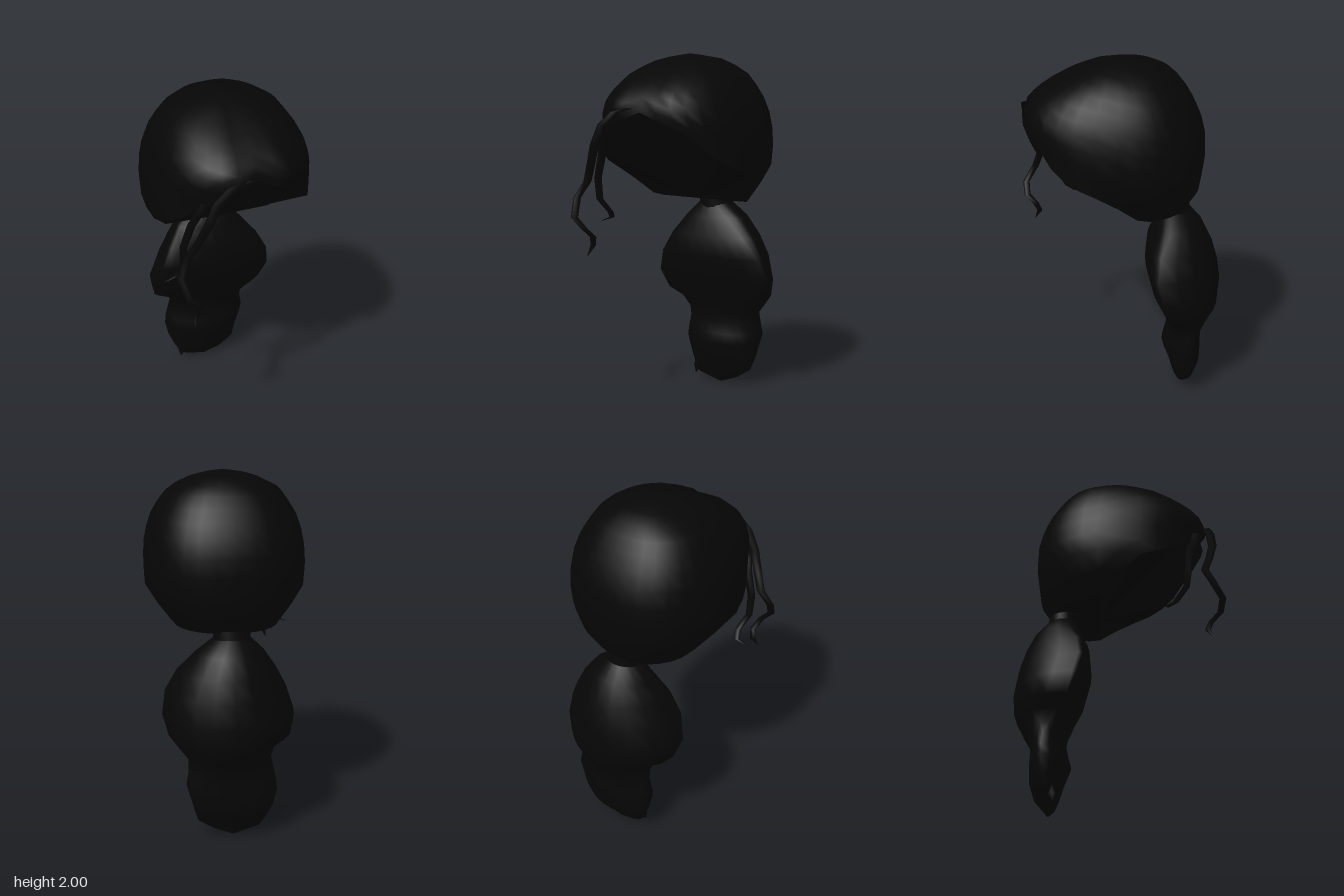
import * as THREE from 'three';

// Piecewise-linear lookup in [key, value] pairs with ascending keys
function lookup(table, k) {
  if (k <= table[0][0]) return table[0][1];
  for (let i = 1; i < table.length; i++) {
    const [k0, v0] = table[i - 1], [k1, v1] = table[i];
    if (k <= k1) return v0 + (v1 - v0) * (k - k0) / (k1 - k0);
  }
  return table[table.length - 1][1];
}

// Signed power: below 1 makes an oval boxier
const bulge = (v, power) => Math.sign(v) * Math.abs(v) ** power;

// Skin closed rings of equal length, listed from top to bottom
function loft(name, rings, material) {
  const n = rings[0].length, index = [];
  for (let r = 0; r < rings.length - 1; r++) {
    for (let s = 0; s < n; s++) {
      const t = (s + 1) % n;
      const a = r * n + s, b = a + n, c = (r + 1) * n + t, d = r * n + t;
      index.push(a, b, c, a, c, d);
    }
  }
  const geometry = new THREE.BufferGeometry();
  geometry.setAttribute('position', new THREE.Float32BufferAttribute(rings.flat(2), 3));
  geometry.setIndex(index);
  geometry.computeVertexNormals();
  const mesh = new THREE.Mesh(geometry, material);
  mesh.name = name;
  return mesh;
}

// Cap outline by height: half width, reach to the front, reach to the back
const WIDTH = [[1.165, 0.3], [1.25, 0.35], [1.29, 0.39], [1.36, 0.44], [1.5, 0.448], [1.64, 0.438],
  [1.78, 0.39], [1.9, 0.305], [1.97, 0.17], [2, 0]];
const FRONT = [[1.55, 0.48], [1.7, 0.535], [1.76, 0.515], [1.83, 0.435], [1.9, 0.31], [1.95, 0.2], [1.985, 0.1], [2, 0]];
const BACK = [[1.165, 0.37], [1.22, 0.395], [1.27, 0.44], [1.44, 0.465], [1.53, 0.475], [1.65, 0.455],
  [1.76, 0.405], [1.86, 0.345], [1.935, 0.27], [1.985, 0.165], [2, 0]];
// Hairline height by degrees away from the front
const RIM = [[0, 1.7], [25, 1.61], [45, 1.49], [60, 1.425], [84, 1.35], [95, 1.22], [105, 1.165], [180, 1.165]];
// Shallow parting at the middle of the front
const PARTING = [[0, 0.94], [11, 1]];

// t runs from the crown (0) to the hairline (1)
function capRing(t) {
  const n = 32;
  return Array.from({ length: n }, (_, s) => {
    const a = s / n * Math.PI * 2;
    const deg = Math.min(a, Math.PI * 2 - a) * 180 / Math.PI;
    const rim = lookup(RIM, deg);
    const y = rim + (2 - rim) * Math.cos(t * Math.PI / 2);
    const depth = lookup(Math.cos(a) > 0 ? FRONT : BACK, y) * lookup(PARTING, deg);
    return [bulge(Math.sin(a), 0.85) * lookup(WIDTH, y), y, bulge(Math.cos(a), 0.85) * depth];
  });
}

function addCap(group, material) {
  const steps = 12;
  group.add(loft('hairCap', Array.from({ length: steps + 1 }, (_, i) => capRing(i / steps)), material));
  // Filled underside, drawn in from the hairline to a point
  const center = [0, 1.175, -0.1], rim = capRing(1);
  const rings = [0, 0.3, 0.65, 1].map(k => rim.map(p => p.map((v, i) => v + (center[i] - v) * k)));
  group.add(loft('capUnderside', rings, material));
}

// Oval rings from rows of [y, left x, right x, back z, front z, where it is widest from front 0 to back 1]
function ovalRings(rows, n = 20) {
  return rows.map(([y, x0, x1, z0, z1, widest]) => Array.from({ length: n }, (_, s) => {
    const a = s / n * Math.PI * 2, c = Math.cos(a);
    const mid = z1 + (z0 - z1) * widest;
    return [(x0 + x1) / 2 + Math.sin(a) * (x1 - x0) / 2, y, mid + c * (c > 0 ? z1 - mid : mid - z0)];
  }));
}

// Tapering lock of hair along [x, y, z] points
function strand(name, points, radius, material) {
  const last = points.length - 1;
  const rings = points.map(([x, y, z], i) => {
    const r = i === last ? 0.001 : radius * (1 - 0.5 * i / last);
    return [0, 1, 2, 3, 4].map(s => {
      const a = s / 5 * Math.PI * 2;
      return [x + Math.sin(a) * r, y, z + Math.cos(a) * r];
    });
  });
  return loft(name, rings, material);
}

export function createModel() {
  const group = new THREE.Group();
  group.name = 'hair';
  const black = new THREE.MeshStandardMaterial({ color: 0x060606, side: THREE.DoubleSide });
  black.name = 'hair black';

  addCap(group, black);

  // Gathered neck between cap and ponytail
  group.add(loft('hairTie', ovalRings([
    [1.18, -0.105, 0.105, -0.39, -0.22, 0.5],
    [1.1, -0.1, 0.1, -0.4, -0.22, 0.5],
  ]), black));

  // Ponytail with a full upper bulge and a smaller lower one
  group.add(loft('ponytail', ovalRings([
    [1.15, -0.03, 0.03, -0.33, -0.29, 0.5],
    [1.13, -0.1, 0.1, -0.4, -0.23, 0.4],
    [1.05, -0.18, 0.2, -0.47, -0.2, 0.3],
    [0.94, -0.255, 0.295, -0.525, -0.155, 0.2],
    [0.82, -0.32, 0.36, -0.56, -0.145, 0.17],
    [0.69, -0.36, 0.38, -0.58, -0.18, 0.17],
    [0.58, -0.33, 0.35, -0.572, -0.23, 0.2],
    [0.53, -0.24, 0.31, -0.555, -0.245, 0.25],
    [0.46, -0.21, 0.25, -0.52, -0.268, 0.4],
    [0.4, -0.22, 0.255, -0.48, -0.28, 0.6],
    [0.33, -0.235, 0.268, -0.475, -0.265, 0.68],
    [0.27, -0.24, 0.25, -0.478, -0.25, 0.68],
    [0.18, -0.22, 0.225, -0.475, -0.285, 0.62],
    [0.1, -0.185, 0.2, -0.45, -0.31, 0.5],
    [0.045, -0.15, 0.12, -0.405, -0.33, 0.5],
    [0.0, -0.01, 0.01, -0.375, -0.365, 0.5],
  ]), black));

  // Small pointed lock at the ponytail's end
  group.add(strand('ponytailTip', [[-0.13, 0.15, -0.36], [-0.15, 0.08, -0.35], [-0.16, 0.035, -0.34]], 0.035, black));

  // Loose curled locks at the right temple, starting along the hairline
  group.add(strand('frontStrand', [
    [-0.06, 1.72, 0.51], [-0.14, 1.7, 0.525], [-0.22, 1.63, 0.53], [-0.27, 1.52, 0.535], [-0.32, 1.4, 0.505],
    [-0.365, 1.31, 0.475], [-0.415, 1.22, 0.505], [-0.39, 1.12, 0.565], [-0.33, 1.06, 0.555],
    [-0.31, 1.01, 0.505], [-0.325, 0.96, 0.485], [-0.345, 0.9, 0.515],
  ], 0.03, black));
  group.add(strand('sideStrand', [
    [-0.25, 1.6, 0.45], [-0.29, 1.53, 0.43], [-0.32, 1.45, 0.4], [-0.36, 1.32, 0.385], [-0.36, 1.2, 0.37],
    [-0.33, 1.12, 0.31], [-0.35, 1.085, 0.27], [-0.43, 1.055, 0.275],
  ], 0.028, black));

  return group;
}
